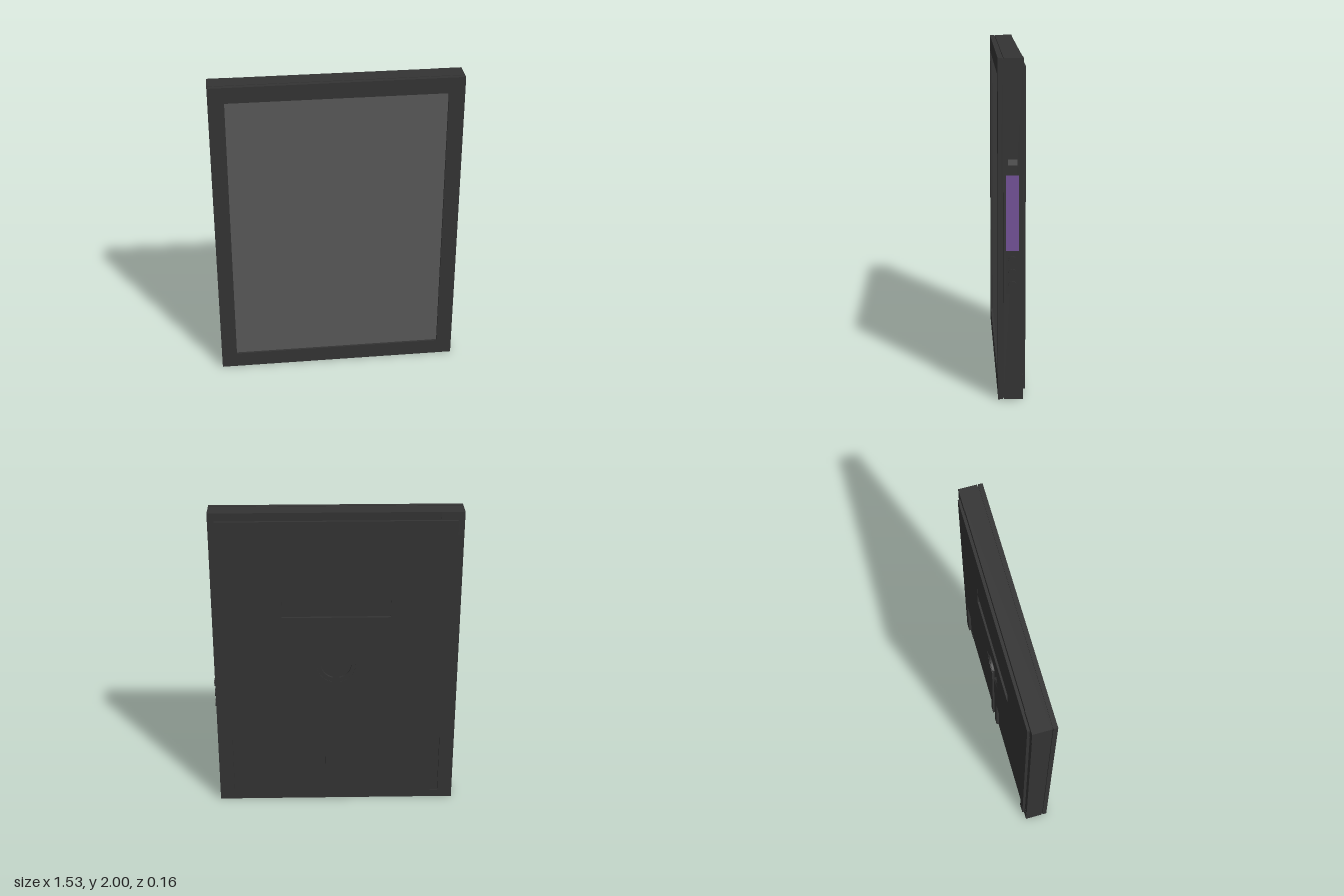
import * as THREE from 'three';

export function createModel() {
  const root = new THREE.Group();
  root.name = 'portableDisplay';
  const housing = new THREE.MeshStandardMaterial({ color: 0x343434 });
  housing.name = 'charcoal housing';
  const glass = new THREE.MeshStandardMaterial({ color: 0x595959 });
  glass.name = 'grey screen';
  const accent = new THREE.MeshStandardMaterial({ color: 0x75539a });
  accent.name = 'purple accent';

  const W = 0.7625; // half width of the case
  // everything but the buttons is symmetric about x = 0, so shift it slightly
  const unit = new THREE.Group();
  unit.name = 'case';
  unit.position.x = -0.0045;
  root.add(unit);

  function add(name, geometry, material = housing) {
    const mesh = new THREE.Mesh(geometry, material);
    mesh.name = name;
    unit.add(mesh);
    return mesh;
  }
  // box from its minimum and maximum corners
  function box(name, x0, x1, y0, y1, z0, z1, material) {
    const mesh = add(name, new THREE.BoxGeometry(x1 - x0, y1 - y0, z1 - z0), material);
    mesh.position.set((x0 + x1) / 2, (y0 + y1) / 2, (z0 + z1) / 2);
    return mesh;
  }
  function rect(path, x0, x1, y0, y1) {
    path.moveTo(x0, y0).lineTo(x1, y0).lineTo(x1, y1).lineTo(x0, y1).closePath();
    return path;
  }
  function extrude(name, shape, z0, z1) {
    const mesh = add(name, new THREE.ExtrudeGeometry(shape,
      { depth: z1 - z0, bevelEnabled: false, curveSegments: 32 }));
    mesh.position.z = z0;
    return mesh;
  }

  // front bezel with screen opening, seam and main body
  const bezel = rect(new THREE.Shape(), -W, W, 0, 2);
  bezel.holes.push(rect(new THREE.Path(), -0.665, 0.665, 0.1, 1.9));
  extrude('frontBezel', bezel, 0.053, 0.08);
  box('screen', -0.67, 0.67, 0.095, 1.905, 0.053, 0.067, glass);
  box('seamCore', -W + 0.008, W - 0.008, 0.008, 1.992, 0.04, 0.054);
  box('mainBody', -W, W, 0, 2, -0.063, 0.047);

  // back plate: stand recesses and cable channel open at the bottom edge
  const r = 0.122, rIn = 0.095, w = 0.022, top = 0.49;
  const a = Math.asin(w / r), b = Math.asin(w / rIn);
  const P = 0.7225, bottom = 0.05;
  const plate = new THREE.Shape();
  plate.moveTo(-P, bottom);
  plate.lineTo(-0.668, bottom);
  plate.lineTo(-0.668, top);
  plate.lineTo(-0.1, top);
  plate.quadraticCurveTo(-0.068, top, -0.068, top - 0.032);
  plate.lineTo(-0.068, bottom);
  plate.lineTo(-w, bottom);
  plate.absarc(0, 1, r, -Math.PI / 2 - a, -Math.PI / 2 + a, true);
  plate.lineTo(w, bottom);
  plate.lineTo(0.068, bottom);
  plate.lineTo(0.068, top - 0.032);
  plate.quadraticCurveTo(0.068, top, 0.1, top);
  plate.lineTo(0.668, top);
  plate.lineTo(0.668, bottom);
  plate.lineTo(P, bottom);
  plate.lineTo(P, 1.95);
  plate.lineTo(-P, 1.95);
  plate.closePath();
  plate.holes.push(rect(new THREE.Path(), -0.335, 0.335, 1.325, 1.545));
  extrude('backPlate', plate, -0.08, -0.062);

  // cover over the upper half of the handle recess
  box('handleCover', -0.335, 0.335, 1.435, 1.545, -0.078, -0.062);

  // stepped ring around the round recess, open where the channel enters
  const ring = new THREE.Shape();
  ring.absarc(0, 1, r, -Math.PI / 2 + a, Math.PI * 1.5 - a, false);
  ring.absarc(0, 1, rIn, Math.PI * 1.5 - b, -Math.PI / 2 + b, true);
  ring.closePath();
  extrude('recessRing', ring, -0.077, -0.062);

  // L-shaped corner caps between the plate and the case edge
  for (const sx of [-1, 1]) {
    for (const top of [false, true]) {
      const X = v => sx * v, Y = v => (top ? 2 - v : v);
      const xs = (p, q) => [Math.min(X(p), X(q)), Math.max(X(p), X(q))];
      const ys = (p, q) => [Math.min(Y(p), Y(q)), Math.max(Y(p), Y(q))];
      box('cornerCap', ...xs(0.62, W), ...ys(0, 0.05), -0.065, -0.055);
      box('cornerCap', ...xs(P, W), ...ys(0.05, 0.15), -0.065, -0.055);
    }
  }

  // control strip on the left side of the case
  box('portBezel', W - 0.005, W + 0.001, 1.39, 1.44, -0.04, 0.034);
  box('port', W - 0.005, W + 0.002, 1.398, 1.432, -0.03, 0.024, glass);
  box('accentPanel', W - 0.005, W + 0.002, 0.9, 1.34, -0.04, 0.034, accent);
  box('buttonPanel', W - 0.005, W + 0.001, 0.645, 0.9, -0.04, 0.034);
  for (const y of [0.697, 0.77, 0.844]) {
    const button = add('button', new THREE.CylinderGeometry(0.025, 0.025, 0.014, 32));
    button.rotation.z = -Math.PI / 2;
    button.position.set(W + 0.002, y, -0.003);
  }
  return root;
}
